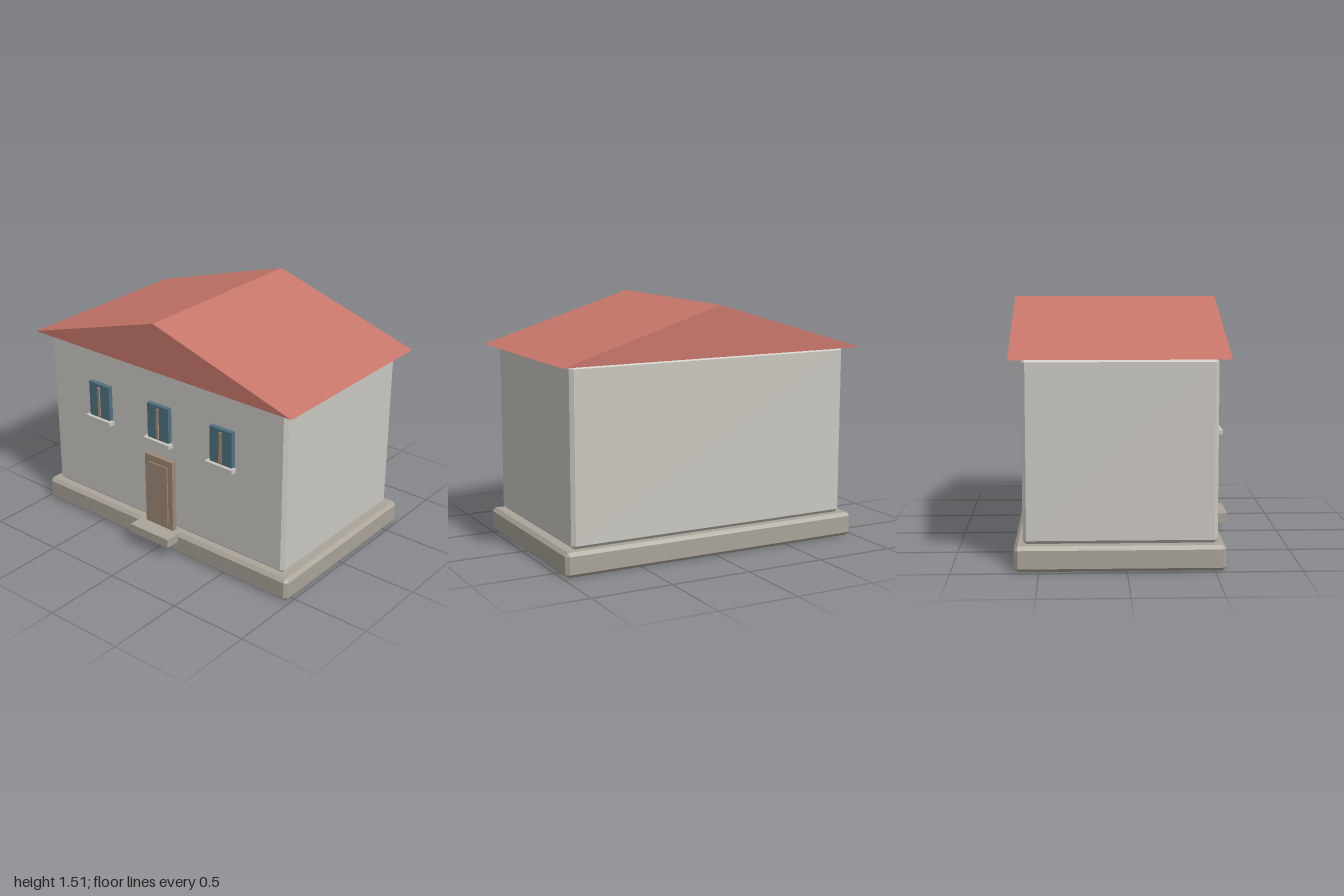
import * as THREE from 'three';
import { ConvexGeometry } from 'three/addons/geometries/ConvexGeometry.js';

const material = (name, color) => {
  const m = new THREE.MeshStandardMaterial({ color });
  m.name = name;
  return m;
};

// Box given by its limits on each axis
function box(name, mat, [x0, x1], [y0, y1], [z0, z1]) {
  const mesh = new THREE.Mesh(new THREE.BoxGeometry(x1 - x0, y1 - y0, z1 - z0), mat);
  mesh.position.set((x0 + x1) / 2, (y0 + y1) / 2, (z0 + z1) / 2);
  mesh.name = name;
  return mesh;
}

// Box with every edge and corner chamfered by c
function chamferBox(name, mat, [x0, x1], [y0, y1], [z0, z1], c) {
  const points = [];
  const hx = (x1 - x0) / 2, hy = (y1 - y0) / 2, hz = (z1 - z0) / 2;
  for (const sx of [-1, 1]) for (const sy of [-1, 1]) for (const sz of [-1, 1]) {
    points.push(
      new THREE.Vector3(sx * hx, sy * (hy - c), sz * (hz - c)),
      new THREE.Vector3(sx * (hx - c), sy * hy, sz * (hz - c)),
      new THREE.Vector3(sx * (hx - c), sy * (hy - c), sz * hz));
  }
  const mesh = new THREE.Mesh(new ConvexGeometry(points), mat);
  mesh.position.set((x0 + x1) / 2, (y0 + y1) / 2, (z0 + z1) / 2);
  mesh.name = name;
  return mesh;
}

export function createModel() {
  const plaster = material('plaster', 0xcac7c0);
  const stone = material('stone', 0xaaa499);
  const tile = material('roof tile', 0xc7766a);
  const wood = material('wood', 0x9f8876);
  const glass = material('glass', 0x4f7280);
  const sillStone = material('sill stone', 0xc6c5bf);

  const house = new THREE.Group();
  house.name = 'house';

  // Plinth, walls and doorstep
  house.add(
    chamferBox('plinth', stone, [-0.985, 0.985], [0, 0.148], [-0.64, 0.565], 0.021),
    chamferBox('walls', plaster, [-0.925, 0.925], [0.148, 1.207], [-0.592, 0.52], 0.021),
    box('doorstep', stone, [-0.153, 0.153], [0.092, 0.149], [0.52, 0.663]));

  // Gabled roof with its ridge running front to back
  const gable = new THREE.Shape([
    new THREE.Vector2(-1, 1.206), new THREE.Vector2(1, 1.206), new THREE.Vector2(0, 1.51)]);
  const roofGeometry = new THREE.ExtrudeGeometry(gable, { depth: 1.245, bevelEnabled: false });
  const roof = new THREE.Mesh(roofGeometry, tile);
  roof.position.z = -0.662;
  roof.name = 'roof';
  house.add(roof);

  // Front door with a raised panel
  const door = new THREE.Group();
  door.name = 'door';
  door.add(
    box('doorLeaf', wood, [-0.11, 0.11], [0.149, 0.625], [0.528, 0.56]),
    box('doorPanel', wood, [-0.073, 0.073], [0.18, 0.58], [0.559, 0.568]));
  house.add(door);

  // Three windows, each with a mullion and a sill
  for (const x of [-0.485, 0, 0.485]) {
    const win = new THREE.Group();
    win.name = 'window';
    win.position.x = x;
    win.add(
      box('windowPane', glass, [-0.083, 0.083], [0.74, 0.975], [0.528, 0.558]),
      box('mullion', wood, [-0.008, 0.008], [0.757, 0.957], [0.557, 0.568]),
      box('windowSill', sillStone, [-0.103, 0.103], [0.721, 0.747], [0.54, 0.581]));
    house.add(win);
  }

  return house;
}
